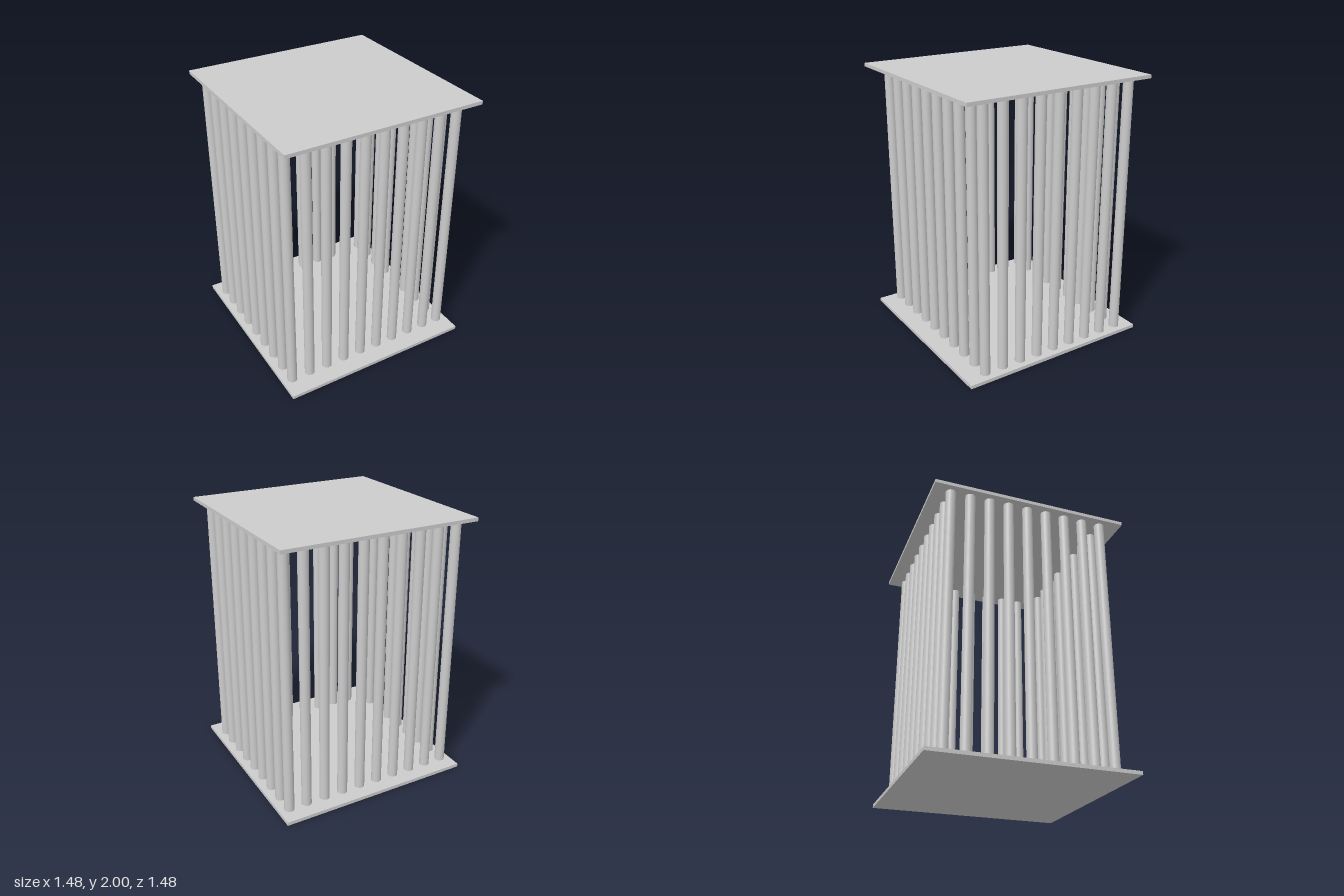
import * as THREE from 'three';

export function createModel() {
  const model = new THREE.Group();
  model.name = 'barredCage';
  const material = new THREE.MeshStandardMaterial({ color: 0xcccccc });

  const size = 1.48, height = 2, plate = 0.026, radius = 0.037, pitch = 0.148;

  // Floor and roof plates
  const plateGeometry = new THREE.BoxGeometry(size, plate, size);
  for (const [name, y] of [['floorPlate', plate / 2], ['roofPlate', height - plate / 2]]) {
    const mesh = new THREE.Mesh(plateGeometry, material);
    mesh.name = name;
    mesh.position.y = y;
    model.add(mesh);
  }

  // Round bars standing between the plates
  const barGeometry = new THREE.CylinderGeometry(radius, radius, height - 2 * plate, 32);
  const addBar = (name, x, z) => {
    const bar = new THREE.Mesh(barGeometry, material);
    bar.name = name;
    bar.position.set(x, height / 2, z);
    model.add(bar);
  };

  const left = 0.66, right = -0.663, front = 0.58, back = front - 8 * pitch;

  // Front and back rows; the last bar closes up to the left side row
  for (let i = 0; i < 10; i++) {
    const x = Math.min(right + i * pitch, left);
    addBar('frontBar', x, front);
    addBar('backBar', x, back);
  }

  // Side rows between the corner bars
  for (let i = 1; i < 8; i++) {
    addBar('leftBar', left, front - i * pitch);
    addBar('rightBar', right, front - i * pitch);
  }

  return model;
}
